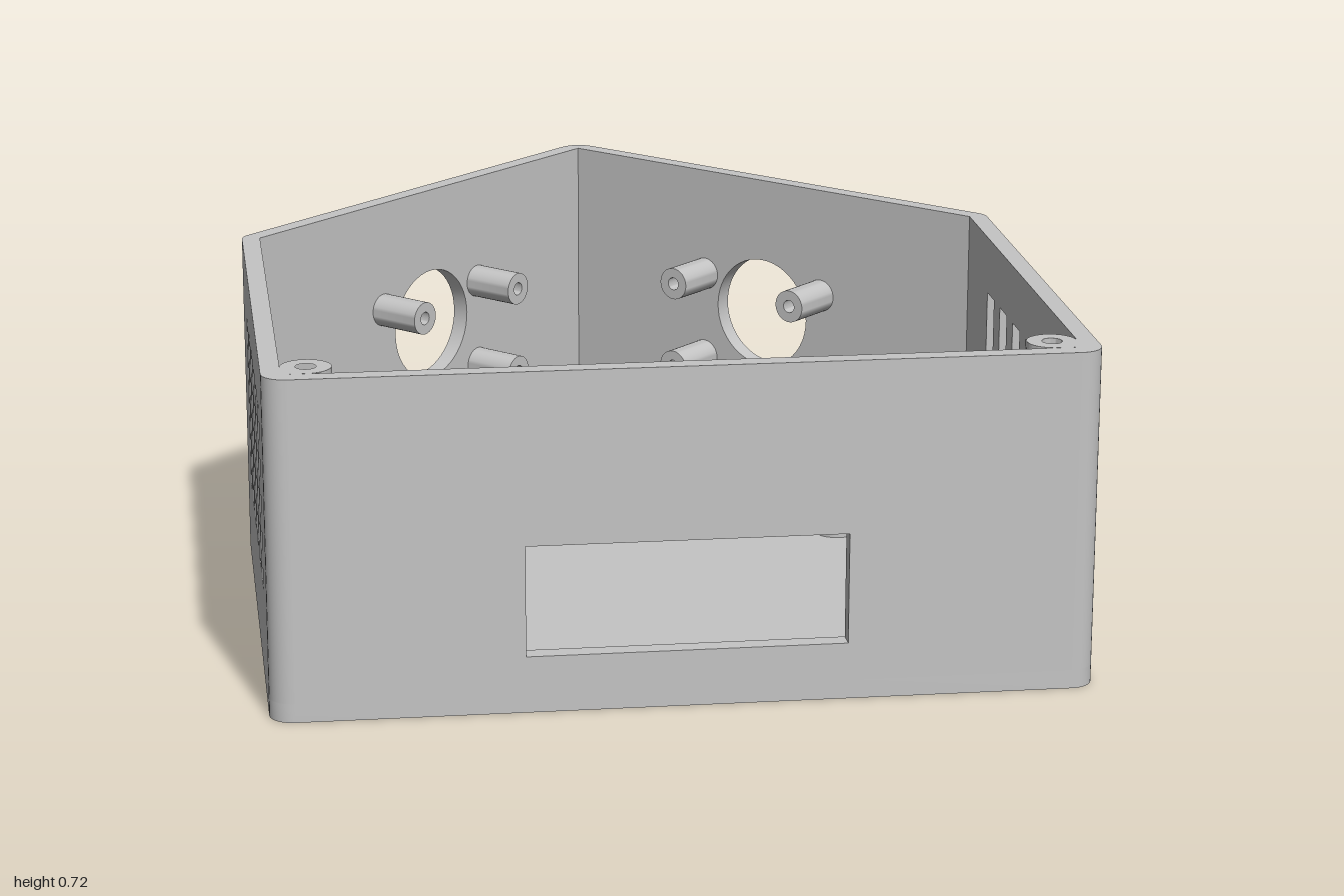
import * as THREE from 'three';
import { toCreasedNormals } from 'three/addons/utils/BufferGeometryUtils.js';

const H = 0.72, T = 0.04, FLOOR = 0.04, R = 0.05;
const V = (x, y) => new THREE.Vector2(x, y);

// Plan outline as (x, z), walked so that every wall's outside is on its right
const PLAN = [V(0.85, 1), V(0.85, -0.17), V(0, -1.02), V(-0.85, -0.17), V(-0.85, 1)];
const EDGES = PLAN.map((p, i) => {
  const d = PLAN[(i + 1) % 5].clone().sub(p);
  const length = d.length();
  const u = d.divideScalar(length);
  return { p, u, n: V(-u.y, u.x), length };
});
const at = (p, d, k) => p.clone().addScaledVector(d, k);

// Rounded corner data for the corner at the start of edge i
function corner(i) {
  const a = EDGES[(i + 4) % 5], b = EDGES[i], p = b.p;
  const turn = Math.acos(a.n.dot(b.n));
  const reach = R * Math.tan(turn / 2);
  const start = at(p, a.u, -reach), end = at(p, b.u, reach);
  const centre = at(start, a.n, -R);
  const arc = [];
  for (let k = 0; k <= 8; k++) {
    const f = k / 8;
    const n = a.n.clone().multiplyScalar(Math.sin((1 - f) * turn))
      .addScaledVector(b.n, Math.sin(f * turn)).divideScalar(Math.sin(turn));
    arc.push(at(centre, n, R));
  }
  const inner = at(p, a.n.clone().add(b.n), -T / (1 + a.n.dot(b.n)));
  return { reach, arc, loop: [...arc, at(end, b.n, -T), inner, at(start, a.n, -T)] };
}

const circle = (x, y, r) => new THREE.Path().absarc(x, y, r, 0, Math.PI * 2, true);
const rect = (x0, y0, x1, y1) => [V(x0, y0), V(x1, y0), V(x1, y1), V(x0, y1)];
const extrude = (shape, depth) => toCreasedNormals(
  new THREE.ExtrudeGeometry(shape, { depth, bevelEnabled: false, curveSegments: 24 }), 0.6);
// Extrude a plan shape (x, -z) upwards
const rise = (shape, y0, y1) => extrude(shape, y1 - y0).rotateX(-Math.PI / 2).translate(0, y0, 0);
const planShape = (pts) => new THREE.Shape(pts.map((q) => V(q.x, -q.y)));
const lathe = (pts) => toCreasedNormals(
  new THREE.LatheGeometry(pts.map(([x, y]) => V(x, y)), 32), 0.6);
// Round post with a blind screw hole in its end
const screwPost = (r, hole, h, deep) => lathe([[r, 0], [r, h], [hole, h], [hole, h - deep], [0, h - deep]]);

export function createModel() {
  const model = new THREE.Group();
  const grey = new THREE.MeshStandardMaterial({ color: 0xc4c4c4 });
  grey.name = 'plain grey';
  const add = (name, geometry, parent = model) => {
    const m = new THREE.Mesh(geometry, grey);
    m.name = name;
    parent.add(m);
    return m;
  };
  const corners = PLAN.map((_, i) => corner(i));

  // Floor with the socket hole
  const base = planShape(corners.flatMap((c) => c.arc));
  base.holes.push(circle(0, 0.31, 0.053));
  add('floor', rise(base, 0, FLOOR));

  // Rounded wall corners
  corners.forEach((c) => add('wallCorner', rise(planShape(c.loop), FLOOR, H)));

  // Openings per wall, in distance along the wall and height
  const slots = (first, dir) => Array.from({ length: 6 }, (_, k) => {
    const s = first + dir * k * 0.1305;
    return new THREE.Path(rect(s - 0.0345, 0.21, s + 0.0345, 0.595));
  });
  const roundHole = () => [circle(EDGES[1].length / 2, 0.395, 0.13)];
  const walls = [
    { name: 'leftWall', holes: slots(1 - 0.743, 1) },
    { name: 'backLeftWall', holes: roundHole(), posts: true },
    { name: 'backRightWall', holes: roundHole(), posts: true },
    { name: 'rightWall', holes: slots(0.743 + 0.17, -1), cut: 0.025 },
    { name: 'frontWall', holes: [new THREE.Path(rect(0.52, 0.12, 1.18, 0.355))] },
  ];
  walls.forEach(({ name, holes, posts, cut = T }, i) => {
    const e = EDGES[i];
    const group = new THREE.Group();
    group.name = name;
    group.applyMatrix4(new THREE.Matrix4().makeBasis(
      new THREE.Vector3(e.u.x, 0, e.u.y), new THREE.Vector3(0, 1, 0),
      new THREE.Vector3(e.n.x, 0, e.n.y)).setPosition(e.p.x, 0, e.p.y));
    model.add(group);
    const outline = rect(corners[i].reach, FLOOR, e.length - corners[(i + 1) % 5].reach, H);
    const panel = new THREE.Shape(outline);
    panel.holes.push(...holes);
    add('panel', extrude(panel, cut).translate(0, 0, -cut), group);
    // Recessed slots keep a solid backing
    if (cut < T) add('slotBacking', extrude(new THREE.Shape(outline), T - cut).translate(0, 0, -T), group);
    // Four sensor posts around the round hole
    if (posts) for (const s of [-0.17, 0.17]) for (const y of [0.26, 0.465]) {
      const post = add('sensorPost', screwPost(0.038, 0.015, 0.127, 0.08), group);
      post.rotation.x = -Math.PI / 2;
      post.position.set(e.length / 2 + s, y, -T);
    }
  });

  for (const side of [1, -1]) {
    // Lid screw columns merged into the front corners
    const arc = new THREE.Path().absarc(0.758, -0.907, 0.052, 0, Math.PI * 1.5, false).getPoints(24);
    const column = new THREE.Shape([...arc, V(0.81, -0.96)].map((q) => V(q.x * side, q.y)));
    column.holes.push(circle(0.758 * side, -0.907, 0.021));
    add('lidScrewColumn', rise(column, FLOOR, H));
    // Board standoffs on the floor
    for (const z of [0.04, 0.84]) {
      add('boardStandoff', screwPost(0.05, 0.021, 0.08, 0.075)).position.set(0.475 * side, FLOOR, z);
    }
  }

  // Raised boss, with a blind socket open at the underside
  add('mountBoss', lathe([[0.14, FLOOR], [0.14, 0.16], [0, 0.16]])).position.z = -0.31;
  add('mountSocket', lathe([[0, 0.12], [0.053, 0.12], [0.053, 0]])).position.z = -0.31;
  return model;
}
